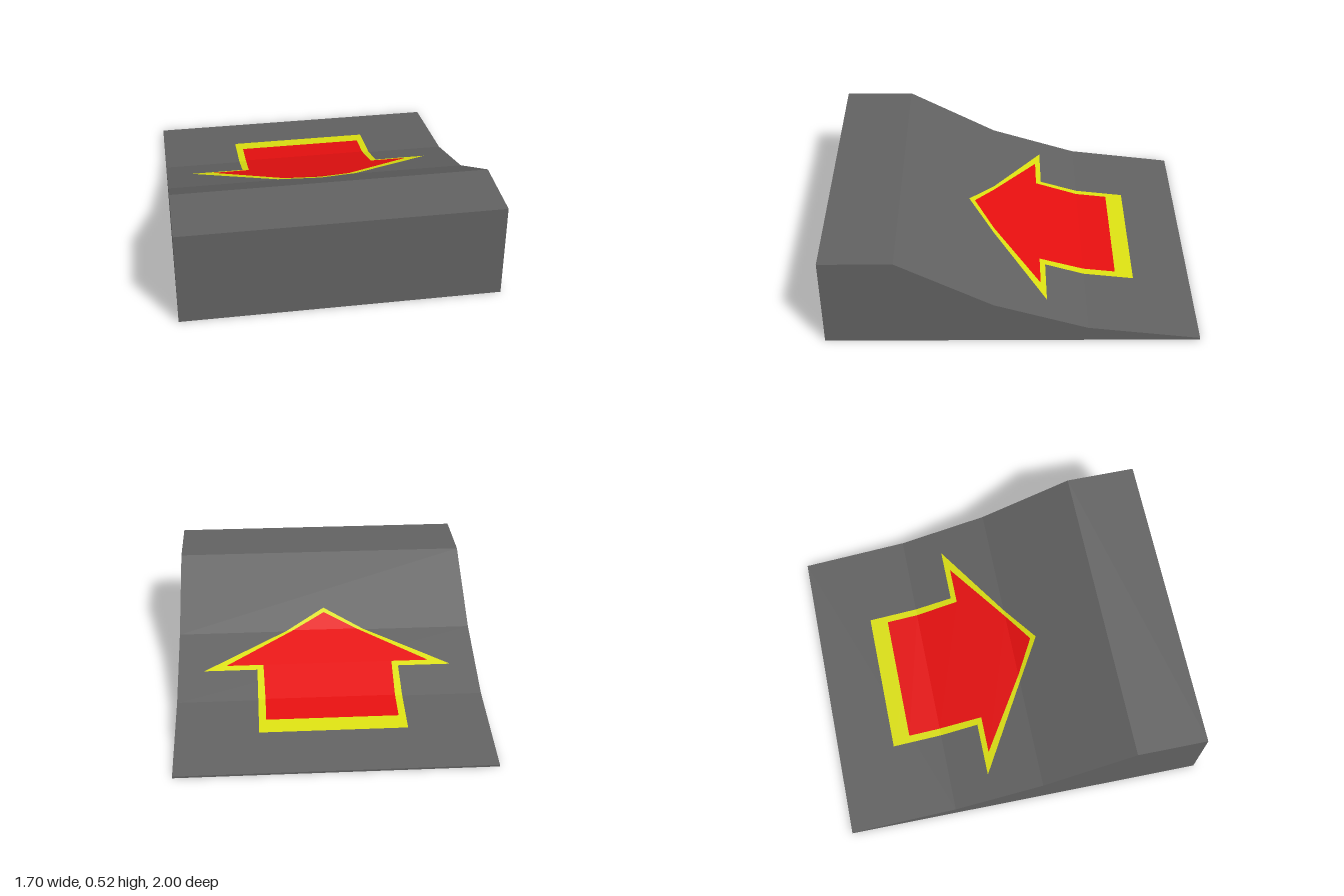
import * as THREE from 'three';

// Side profile of the ramp as [z, y], from the low back edge to the high front edge
const SURFACE = [[-1, 0.01], [-0.4, 0.085], [0.1, 0.245], [0.61, 0.52], [1, 0.52]];

function surfaceHeight(z) {
  for (let i = 1; i < SURFACE.length; i++) {
    const [z0, y0] = SURFACE[i - 1], [z1, y1] = SURFACE[i];
    if (z <= z1) return y0 + (y1 - y0) * (z - z0) / (z1 - z0);
  }
  return SURFACE[SURFACE.length - 1][1];
}

// Thin sheet lying on the ramp; rows are [z, half width], with rows at each bend
function decal(name, rows, lift, material) {
  const positions = [];
  const point = ([z, w], side) => [side * w, surfaceHeight(z) + lift, z];
  for (let i = 1; i < rows.length; i++) {
    const a = rows[i - 1], b = rows[i];
    if (a[0] === b[0]) continue;
    positions.push(...point(a, -1), ...point(b, 1), ...point(a, 1));
    if (b[1] > 0) positions.push(...point(a, -1), ...point(b, -1), ...point(b, 1));
  }
  const geometry = new THREE.BufferGeometry();
  geometry.setAttribute('position', new THREE.Float32BufferAttribute(positions, 3));
  geometry.computeVertexNormals();
  const mesh = new THREE.Mesh(geometry, material);
  mesh.name = name;
  return mesh;
}

export function createModel() {
  const group = new THREE.Group();
  group.name = 'arrowRamp';

  const grey = new THREE.MeshStandardMaterial({ color: 0x626262 });
  grey.name = 'ramp grey';
  const yellow = new THREE.MeshStandardMaterial({ color: 0xdce012 });
  yellow.name = 'border yellow';
  const red = new THREE.MeshStandardMaterial({ color: 0xe60f0f });
  red.name = 'arrow red';

  // Solid ramp, extruded across x and very slightly skewed
  const outline = [[-1, 0], [1, 0], ...SURFACE.slice().reverse()];
  const shape = new THREE.Shape(outline.map(([z, y]) => new THREE.Vector2(z, y)));
  const body = new THREE.ExtrudeGeometry(shape, { depth: 1.69, bevelEnabled: false });
  body.translate(0, 0, -0.845).rotateY(-Math.PI / 2);
  const p = body.attributes.position;
  for (let i = 0; i < p.count; i++) p.setX(i, p.getX(i) - 0.005 * p.getZ(i));
  body.computeVertexNormals();
  const ramp = new THREE.Mesh(body, grey);
  ramp.name = 'ramp';
  group.add(ramp);

  // Painted arrow pointing up the slope: yellow border under a red fill
  group.add(decal('arrowBorder', [
    [-0.68, 0.4], [-0.4, 0.4], [-0.185, 0.4],
    [-0.185, 0.7], [0.1, 0.225], [0.24, 0],
  ], 0.003, yellow));
  group.add(decal('arrowFill', [
    [-0.58, 0.36], [-0.4, 0.36], [-0.155, 0.365],
    [-0.155, 0.575], [0.1, 0.185], [0.208, 0],
  ], 0.007, red));

  return group;
}
